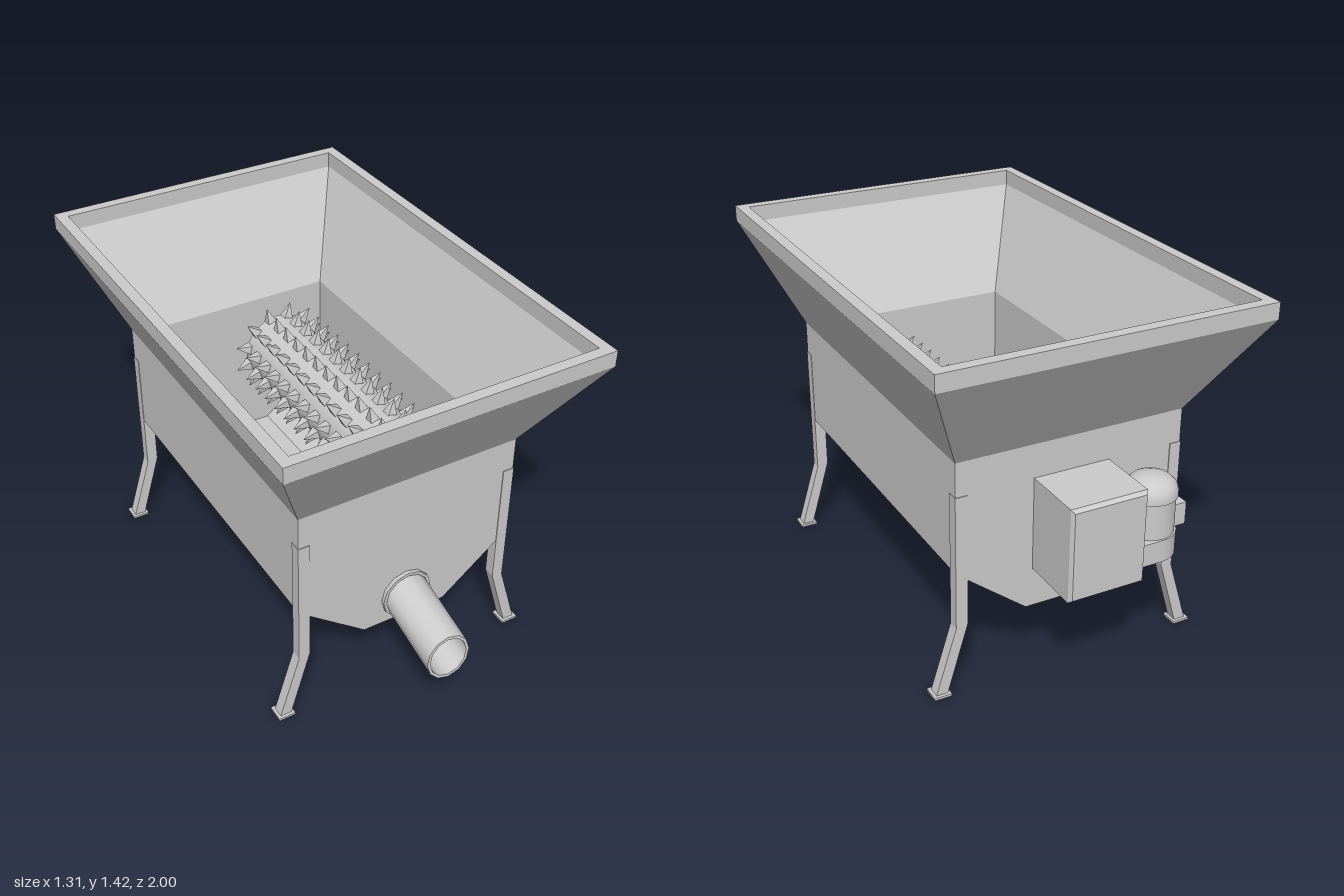
import * as THREE from 'three';
import { mergeGeometries, toCreasedNormals } from 'three/addons/utils/BufferGeometryUtils.js';

const grey = new THREE.MeshStandardMaterial({ color: 0xcccccc, side: THREE.DoubleSide });

export function createModel() {
  const model = new THREE.Group();
  const ZC = -0.02; // centre of the hopper along its length

  const add = (name, geometry, x = 0, y = 0, z = 0, parent = model) => {
    const mesh = new THREE.Mesh(geometry, grey);
    mesh.name = name;
    mesh.position.set(x, y, z);
    parent.add(mesh);
    return mesh;
  };
  const extrude = (points, depth) => new THREE.ExtrudeGeometry(
    new THREE.Shape(points.map(([x, y]) => new THREE.Vector2(x, y))), { depth, bevelEnabled: false });
  const lathe = (points, sides) => toCreasedNormals(new THREE.LatheGeometry(
    points.map(([x, y]) => new THREE.Vector2(x, y)), sides), 0.7);

  // Flat-faced skin through a series of rectangles [half x, y, half z]
  const rectangleLoft = (rings) => {
    const corners = rings.map(([x, y, z]) => [[x, y, z], [x, y, -z], [-x, y, -z], [-x, y, z]]);
    const out = [];
    for (let i = 0; i < rings.length - 1; i++) {
      for (let j = 0; j < 4; j++) {
        const k = (j + 1) % 4;
        const [a, b, c, d] = [corners[i][j], corners[i][k], corners[i + 1][k], corners[i + 1][j]];
        out.push(...a, ...b, ...c, ...a, ...c, ...d);
      }
    }
    const g = new THREE.BufferGeometry();
    g.setAttribute('position', new THREE.Float32BufferAttribute(out, 3));
    g.computeVertexNormals();
    return g;
  };

  // Flared hopper with its upright rim
  add('flaredHopper', rectangleLoft([
    [0.465, 0.955, 0.71], [0.655, 1.36, 0.9625], [0.655, 1.425, 0.9625],
    [0.61, 1.425, 0.9175], [0.61, 1.36, 0.9175], [0.42, 0.955, 0.665], [0.465, 0.955, 0.71],
  ]), 0, 0, ZC);

  // Trough with sloping lower sides, closed by two end plates
  const outer = [[-0.465, 0.955], [-0.465, 0.51], [-0.18, 0.285], [0.18, 0.285], [0.465, 0.51], [0.465, 0.955]];
  const inner = [[0.42, 0.955], [0.42, 0.54], [0.14, 0.32], [-0.14, 0.32], [-0.42, 0.54], [-0.42, 0.955]];
  add('troughSides', extrude([...outer, ...inner], 1.33), 0, 0, ZC - 0.665);
  add('frontPlate', extrude(outer, 0.045), 0, 0, 0.645);
  add('backPlate', extrude(outer, 0.045), 0, 0, -0.73);

  // Four cranked legs with foot plates
  for (const s of [1, -1]) {
    for (const z of [0.67, -0.71]) {
      const leg = new THREE.Group();
      leg.name = (z > 0 ? 'front' : 'back') + (s > 0 ? 'Left' : 'Right') + 'Leg';
      model.add(leg);
      const path = [[0.42, 0.82], [0.467, 0.82], [0.467, 0.28], [0.55, 0.01], [0.503, 0.01], [0.42, 0.29]];
      add('legBar', extrude(path.map(([x, y]) => [s * x, y]), 0.046), 0, 0, z - 0.023, leg);
      add('footPlate', new THREE.BoxGeometry(0.07, 0.01, 0.07), s * 0.527, 0.005, z, leg);
    }
  }

  // Spiked roller on its shaft
  const roller = new THREE.Group();
  roller.name = 'spikedRoller';
  roller.position.set(0.185, 0.71, 0);
  model.add(roller);
  const along = (r, length, sides) => new THREE.CylinderGeometry(r, r, length, sides).rotateX(Math.PI / 2);
  add('drum', along(0.155, 1.26, 32), 0, 0, -0.025, roller);
  add('shaft', along(0.045, 1.34, 20), 0, 0, ZC, roller);
  const spikes = [];
  for (let ring = 0; ring < 15; ring++) {
    for (let i = 0; i < 12; i++) {
      const spike = new THREE.ConeGeometry(0.03, 0.07, 4, 1).rotateY(Math.PI / 4);
      spike.translate(0, 0.185, 0).rotateZ((i + 0.5) * Math.PI / 6);
      spikes.push(spike.translate(0, 0, -0.64 + ring * 0.0843));
    }
  }
  add('spikes', toCreasedNormals(mergeGeometries(spikes), 0.3), 0, 0, 0, roller);

  // Discharge pipe: straight tube sheared downwards with a slanted mouth
  const pipe = new THREE.LatheGeometry([[0.093, 0], [0.093, 0.3], [0.081, 0.3], [0.081, 0]]
    .map(([x, y]) => new THREE.Vector2(x, y)), 12).rotateX(Math.PI / 2);
  const p = pipe.attributes.position;
  for (let i = 0; i < p.count; i++) {
    const t = p.getZ(i) / 0.3;
    const y = p.getY(i);
    p.setXYZ(i, p.getX(i), y - 0.085 * t, p.getZ(i) - 0.11 * y * t);
  }
  add('dischargePipe', toCreasedNormals(pipe, 0.7), 0, 0.4, 0.69);
  add('pipeCollar', lathe([[0.093, 0], [0.106, 0], [0.106, 0.016], [0.093, 0.016]], 12)
    .rotateX(Math.PI / 2), 0, 0.4, 0.69);

  // Drive housing with a bevelled cover
  add('driveHousing', new THREE.BoxGeometry(0.31, 0.375, 0.25), 0, 0.633, -0.855);
  const cover = new THREE.CylinderGeometry(0.145 * Math.SQRT2, 0.155 * Math.SQRT2, 0.015, 4)
    .rotateY(Math.PI / 4).rotateX(-Math.PI / 2).scale(1, 0.375 / 0.31, 1);
  add('housingCover', toCreasedNormals(cover, 0.3), 0, 0.633, -0.9875);

  // Upright motor beside the housing
  const motor = new THREE.Group();
  motor.name = 'motor';
  motor.position.set(-0.255, 0.485, -0.86);
  model.add(motor);
  add('motorBody', lathe([[0, 0], [0.1, 0], [0.1, 0.09], [0.093, 0.09], [0.093, 0.235], [0.1, 0.235],
    [0.1, 0.255], [0.092, 0.28], [0.072, 0.3], [0.04, 0.312], [0, 0.315]], 24), 0, 0, 0, motor);
  add('gearArm', new THREE.BoxGeometry(0.11, 0.09, 0.2), 0.052, 0.045, 0, motor);
  add('terminalBox', new THREE.BoxGeometry(0.05, 0.09, 0.085), -0.105, 0.14, 0, motor);

  return model;
}
